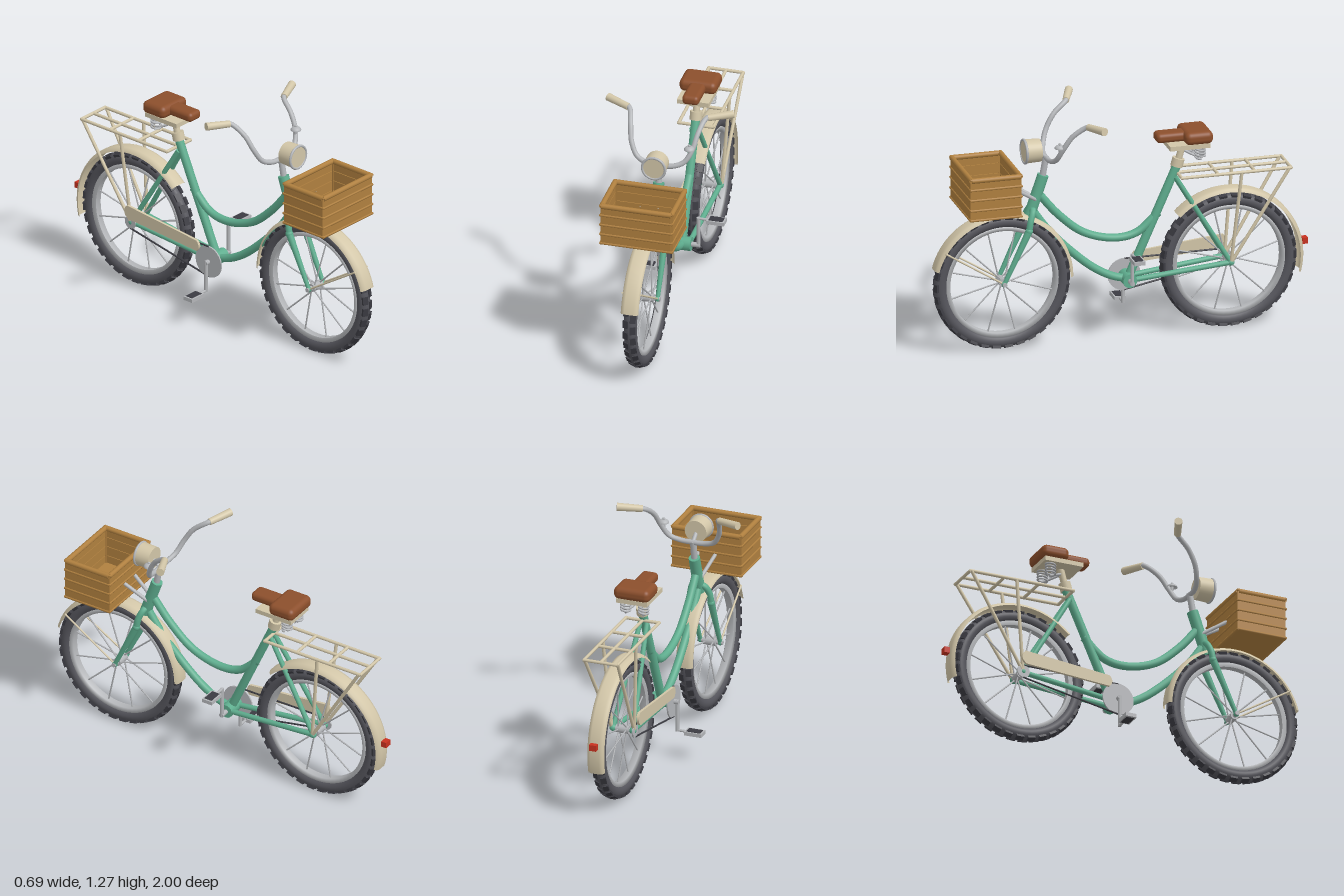
import * as THREE from 'three';
import { RoundedBoxGeometry } from 'three/addons/geometries/RoundedBoxGeometry.js';

const mat = (name, color, side = THREE.FrontSide) => {
  const m = new THREE.MeshStandardMaterial({ color, side });
  m.name = name;
  return m;
};

export function createModel() {
  const green = mat('frame green', 0x5fae8f);
  const cream = mat('cream', 0xd2c6a8, THREE.DoubleSide);
  const chrome = mat('chrome', 0xb4b6b9);
  const tyre = mat('tyre rubber', 0x55555c);
  const tread = mat('tread rubber', 0x3b3b42);
  const wood = mat('basket wood', 0xb0803f);
  const leather = mat('saddle leather', 0x8c4f2c);
  const red = mat('lamp red', 0xc8321f);

  const model = new THREE.Group();
  model.name = 'bicycle';
  const V = (p) => new THREE.Vector3(...p);
  const add = (name, geo, material, pos = [0, 0, 0], parent = model) => {
    const m = new THREE.Mesh(geo, material);
    m.name = name;
    m.position.set(...pos);
    parent.add(m);
    return m;
  };
  const group = (name, pos = [0, 0, 0]) => {
    const g = new THREE.Group();
    g.name = name;
    g.position.set(...pos);
    model.add(g);
    return g;
  };
  const box = (name, size, pos, material, parent) =>
    add(name, new THREE.BoxGeometry(...size), material, pos, parent);
  // Straight round bar from a to b, optionally tapered
  const rod = (name, a, b, r, material, parent = model, rb = r, seg = 12) => {
    const d = V(b).sub(V(a));
    const m = add(name, new THREE.CylinderGeometry(rb, r, d.length(), seg), material,
      V(a).add(V(b)).multiplyScalar(0.5).toArray(), parent);
    m.quaternion.setFromUnitVectors(new THREE.Vector3(0, 1, 0), d.normalize());
    return m;
  };
  const tube = (name, pts, r, material, parent = model, n = 40) =>
    add(name, new THREE.TubeGeometry(new THREE.CatmullRomCurve3(pts.map(V)), n, r, 12), material, [0, 0, 0], parent);
  const ball = (name, pos, r, material) =>
    add(name, new THREE.SphereGeometry(r, 16, 12), material, pos);
  // Profile of [radius, x] spun about the x axis
  const spin = (profile, seg, from = 0, sweep = Math.PI * 2) =>
    new THREE.LatheGeometry(profile.map(([r, x]) => new THREE.Vector2(r, -x)), seg, from, sweep).rotateZ(Math.PI / 2);

  const axleY = 0.367, frontZ = 0.635, rearZ = -0.576;

  // Wheels
  const wheel = (name, z) => {
    const w = group(name, [0, axleY, z]);
    add('tyre', new THREE.TorusGeometry(0.327, 0.034, 14, 64).rotateY(Math.PI / 2), tyre, [0, 0, 0], w);
    const rim = add('rim', spin([[0.278, -0.018], [0.3, -0.024], [0.303, 0], [0.3, 0.024], [0.278, 0.018], [0.278, -0.018]], 64),
      chrome, [0, 0, 0], w);
    rim.material = chromeBoth;
    const block = new THREE.BoxGeometry(0.03, 0.014, 0.042);
    const count = 34;
    for (let i = 0; i < count; i++) for (const s of [-1, 1]) {
      const pivot = new THREE.Group();
      pivot.name = 'treadBlock';
      pivot.rotation.x = ((i + (s > 0 ? 0.5 : 0)) / count) * Math.PI * 2;
      w.add(pivot);
      add('tread', block, tread, [s * 0.018, 0.3535, 0], pivot).rotation.z = -s * 0.36;
    }
    for (let i = 0; i < 12; i++) {
      const a = ((i + 0.5) / 12) * Math.PI * 2, s = i % 2 ? 1 : -1;
      rod('spoke', [s * 0.022, Math.sin(a + s * 0.3) * 0.02, Math.cos(a + s * 0.3) * 0.02],
        [0, Math.sin(a) * 0.285, Math.cos(a) * 0.285], 0.0042, chrome, w, 0.0042, 6);
    }
    rod('hub', [-0.035, 0, 0], [0.035, 0, 0], 0.022, chrome, w);
    rod('axle', [-0.07, 0, 0], [0.07, 0, 0], 0.012, chrome, w);
  };
  const chromeBoth = chrome;
  chrome.side = THREE.DoubleSide;
  wheel('frontWheel', frontZ);
  wheel('rearWheel', rearZ);

  // Mudguards
  const guard = (name, z, R, a0, a1) => {
    const profile = [[R - 0.02, -0.047], [R - 0.006, -0.04], [R, -0.024], [R, 0.024], [R - 0.006, 0.04], [R - 0.02, 0.047]];
    const rad = Math.PI / 180;
    add(name, spin(profile, 40, a0 * rad, (a1 - a0) * rad), cream, [0, axleY, z]);
  };
  guard('frontMudguard', frontZ, 0.378, 15, 180);
  guard('rearMudguard', rearZ, 0.397, 45, 194);
  for (const s of [-1, 1]) {
    rod('mudguardStay', [s * 0.055, axleY, frontZ], [s * 0.047, 0.56, 0.945], 0.005, cream);
  }
  box('tailLamp', [0.04, 0.032, 0.03], [0, 0.43, -0.985], red);

  // Frame
  const bb = [0, 0.314, -0.04];
  rod('headTube', [0, 0.69, 0.493], [0, 0.925, 0.412], 0.03, green);
  tube('upperFrameTube', [[0, 0.83, 0.44], [0, 0.7, 0.33], [0, 0.59, 0.195], [0, 0.543, 0.03], [0, 0.562, -0.09], [0, 0.66, -0.205]], 0.021, green);
  tube('lowerFrameTube', [[0, 0.74, 0.47], [0, 0.64, 0.4], [0, 0.51, 0.28], [0, 0.39, 0.14], [0, 0.335, 0.04], bb], 0.021, green);
  rod('seatTube', bb, [0, 0.91, -0.305], 0.023, green);
  rod('bottomBracket', [-0.05, bb[1], bb[2]], [0.05, bb[1], bb[2]], 0.037, green, model, 0.037, 20);
  for (const s of [-1, 1]) {
    rod('chainStay', [s * 0.035, bb[1], bb[2]], [s * 0.055, axleY, rearZ], 0.014, green);
    rod('seatStay', [s * 0.018, 0.85, -0.29], [s * 0.055, axleY, rearZ], 0.013, green);
    ball('rearDropout', [s * 0.055, axleY, rearZ], 0.019, green);
    // Fork blades
    rod('forkBlade', [s * 0.055, axleY, frontZ], [s * 0.057, 0.645, 0.503], 0.011, green, model, 0.019);
    ball('forkShoulder', [s * 0.057, 0.645, 0.503], 0.02, green);
    ball('forkTip', [s * 0.055, axleY, frontZ], 0.015, green);
  }
  tube('forkCrown', [[-0.057, 0.645, 0.503], [-0.052, 0.7, 0.492], [-0.03, 0.745, 0.475], [0.03, 0.745, 0.475], [0.052, 0.7, 0.492], [0.057, 0.645, 0.503]], 0.017, green);

  // Handlebar
  rod('stem', [0, 0.91, 0.417], [0, 1.025, 0.396], 0.017, chrome);
  const half = [[0.07, 1.022, 0.393], [0.125, 1.045, 0.378], [0.162, 1.11, 0.352], [0.18, 1.185, 0.305], [0.205, 1.238, 0.235], [0.24, 1.246, 0.215]];
  const flip = (p) => [-p[0], p[1], p[2]];
  tube('handlebar', [...half.map(flip).reverse(), [0, 1.018, 0.396], ...half], 0.0135, chrome, model, 90);
  for (const s of [-1, 1]) {
    rod('grip', [s * 0.212, 1.24, 0.23], [s * 0.335, 1.252, 0.178], 0.018, cream, model, 0.021, 16);
  }
  rod('bellBase', [0.15, 1.09, 0.362], [0.15, 1.12, 0.366], 0.009, chrome);
  const bell = add('bell', new THREE.SphereGeometry(0.028, 18, 8, 0, Math.PI * 2, 0, Math.PI / 2), chrome, [0.15, 1.117, 0.366]);
  bell.scale.y = 0.7;
  ball('bellKnob', [0.15, 1.139, 0.366], 0.007, chrome);

  // Headlamp
  rod('lampBracket', [0, 1.02, 0.396], [0, 1.055, 0.44], 0.011, chrome);
  rod('lampBody', [0, 1.063, 0.43], [0, 1.063, 0.512], 0.06, cream, model, 0.063, 32);
  add('lampRing', new THREE.TorusGeometry(0.061, 0.007, 10, 36), chrome, [0, 1.063, 0.513]);
  rod('lampGlass', [0, 1.063, 0.51], [0, 1.063, 0.516], 0.058, cream, model, 0.056, 32);

  // Basket: base, four slats a side with beads between, top rim and corner posts
  const basket = group('basket', [0, 0, 0.717]);
  const hx = 0.185, hz = 0.13;
  box('basketFloor', [hx * 2, 0.014, hz * 2], [0, 0.785, 0], wood, basket);
  for (const s of [-1, 1]) {
    for (let i = 0; i < 4; i++) {
      const y = 0.808 + i * 0.056;
      box('longSlat', [hx * 2, 0.053, 0.014], [0, y, s * hz], wood, basket);
      box('shortSlat', [0.014, 0.053, hz * 2], [s * hx, y, 0], wood, basket);
    }
    for (let i = 0; i < 5; i++) {
      const y = i ? 0.78 + i * 0.056 - 0.001 : 0.782;
      rod('longBead', [-hx - 0.008, y, s * (hz + 0.005)], [hx + 0.008, y, s * (hz + 0.005)], 0.007, wood, basket, 0.007, 8);
      rod('shortBead', [s * (hx + 0.005), y, -hz - 0.008], [s * (hx + 0.005), y, hz + 0.008], 0.007, wood, basket, 0.007, 8);
    }
    rod('longRim', [-hx, 0.998, s * hz], [hx, 0.998, s * hz], 0.014, wood, basket);
    rod('shortRim', [s * hx, 0.998, -hz], [s * hx, 0.998, hz], 0.014, wood, basket);
    for (const t of [-1, 1]) box('cornerPost', [0.018, 0.22, 0.018], [s * (hx - 0.004), 0.89, t * (hz - 0.004)], wood, basket);
    rod('basketBracket', [s * 0.02, 0.8, 0.455], [s * 0.05, 0.885, 0.59], 0.01, chrome);
  }

  // Saddle
  rod('seatCollar', [0, 0.902, -0.301], [0, 0.945, -0.313], 0.032, cream, model, 0.032, 18);
  rod('seatPost', [0, 0.93, -0.31], [0, 1.02, -0.335], 0.018, cream);
  box('saddlePlate', [0.17, 0.024, 0.215], [0, 1.027, -0.352], cream);
  add('saddleNose', new RoundedBoxGeometry(0.09, 0.052, 0.2, 4, 0.022), leather, [0, 1.071, -0.285]);
  add('saddleSeat', new RoundedBoxGeometry(0.198, 0.068, 0.15, 4, 0.028), leather, [0, 1.071, -0.4]);
  for (const s of [-1, 1]) {
    const coil = [];
    for (let i = 0; i <= 48; i++) {
      const a = (i / 12) * Math.PI * 2;
      coil.push([s * 0.05 + Math.cos(a) * 0.025, 0.953 + i * 0.0013, -0.415 + Math.sin(a) * 0.025]);
    }
    tube('saddleSpring', coil, 0.005, chrome, model, 110);
    rod('springArm', [0, 0.995, -0.325], [s * 0.05, 0.948, -0.42], 0.007, chrome);
  }

  // Luggage rack
  const rackY = 0.866;
  for (const x of [-0.092, 0, 0.092]) rod('rackRail', [x, rackY, -0.3], [x, rackY, -0.89], 0.0085, cream);
  for (const z of [-0.305, -0.5, -0.695, -0.888]) rod('rackCrossbar', [-0.096, rackY, z], [0.096, rackY, z], 0.0085, cream);
  for (const s of [-1, 1]) for (const z of [-0.625, -0.88]) {
    rod('rackStay', [s * 0.062, axleY, rearZ], [s * 0.092, rackY, z], 0.009, cream);
  }

  // Cranks, pedals and chain drive
  for (const s of [-1, 1]) {
    const y = bb[1] + s * 0.158, z = bb[2];
    rod('crankAxle', [0, bb[1], z], [s * 0.095, bb[1], z], 0.013, chrome);
    rod('crankArm', [s * 0.087, bb[1] - s * 0.01, z], [s * 0.087, y + s * 0.005, z], 0.01, chrome);
    rod('pedalAxle', [s * 0.085, y, z], [s * 0.15, y, z], 0.007, chrome);
    box('pedal', [0.095, 0.02, 0.06], [s * 0.183, y, z], chrome);
    box('pedalPad', [0.075, 0.025, 0.044], [s * 0.183, y, z], tread);
  }
  rod('chainring', [-0.07, bb[1], bb[2]], [-0.062, bb[1], bb[2]], 0.087, chrome, model, 0.087, 32);
  rod('sprocket', [-0.07, axleY, rearZ], [-0.062, axleY, rearZ], 0.035, chrome, model, 0.035, 20);
  for (const s of [-1, 1]) {
    rod('chain', [-0.066, bb[1] + s * 0.085, bb[2]], [-0.066, axleY + s * 0.034, rearZ], 0.005, tread, model, 0.005, 6);
  }
  const plate = new THREE.Shape();
  plate.moveTo(0.1, 0.365);
  plate.lineTo(0.57, 0.4);
  plate.quadraticCurveTo(0.615, 0.435, 0.575, 0.473);
  plate.lineTo(0.1, 0.425);
  plate.quadraticCurveTo(0.07, 0.395, 0.1, 0.365);
  const guardGeo = new THREE.ExtrudeGeometry(plate, { depth: 0.014, bevelEnabled: false });
  add('chainGuard', guardGeo.rotateY(Math.PI / 2), cream, [-0.095, 0, 0]);

  return model;
}
